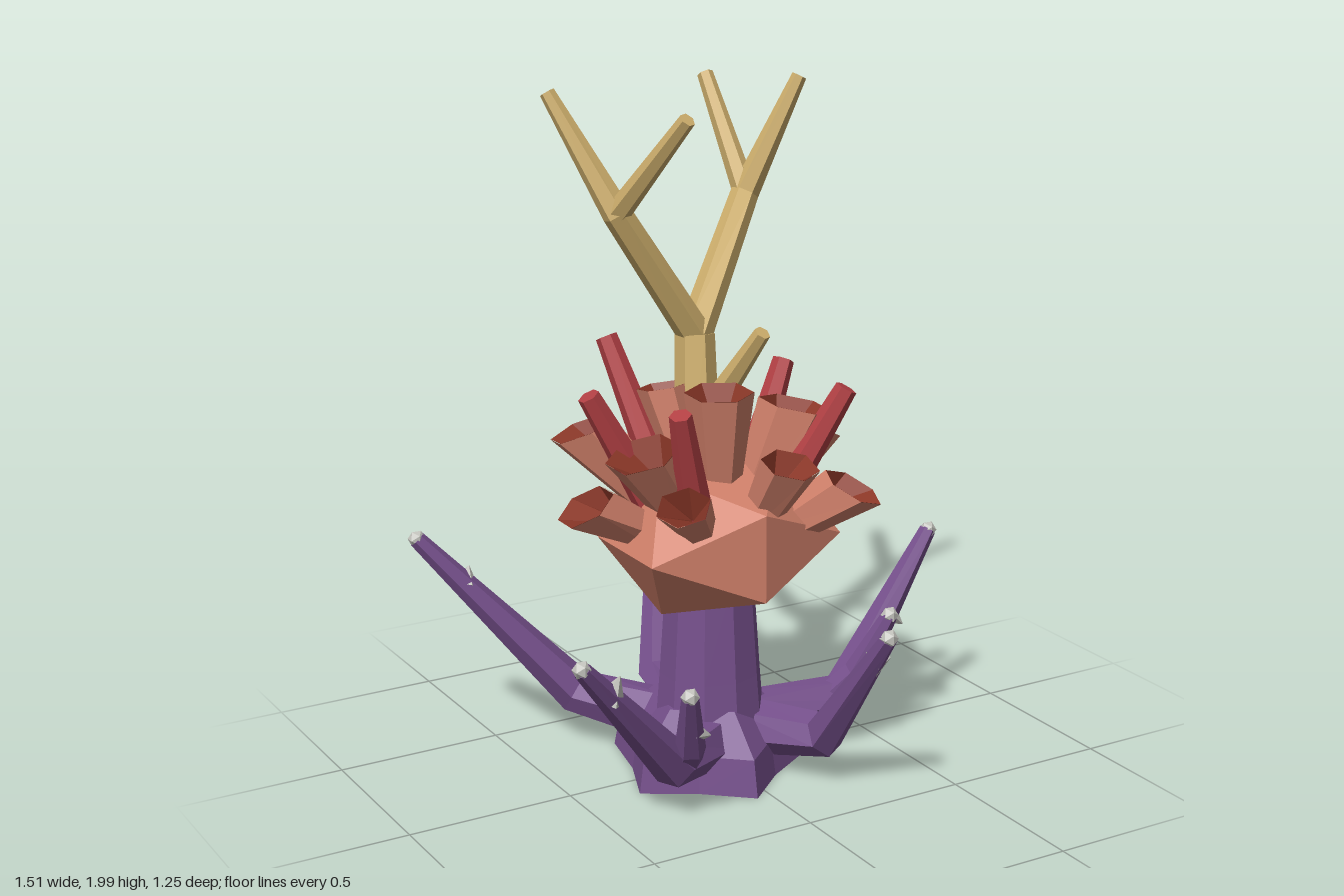
import * as THREE from 'three';

const mat = (name, color, extra = {}) => {
  const m = new THREE.MeshStandardMaterial({ color, ...extra });
  m.name = name;
  return m;
};
const V = (p) => new THREE.Vector3(...p);

// Separate faces so every facet is flat
function facet(geo) {
  const g = geo.index ? geo.toNonIndexed() : geo;
  g.computeVertexNormals();
  return g;
}

// Faceted limb: rings of given radii along a path; endNormal tilts the last ring
function limb(path, radii, sides, caps = true, endNormal = null) {
  const pts = path.map(V), last = pts.length - 1, pos = [], idx = [];
  const n = new THREE.Vector3(), b = new THREE.Vector3();
  pts.forEach((p, i) => {
    const t = new THREE.Vector3();
    if (i > 0) t.add(p.clone().sub(pts[i - 1]).normalize());
    if (i < last) t.add(pts[i + 1].clone().sub(p).normalize());
    if (i === last && endNormal) t.copy(endNormal);
    t.normalize();
    if (i === 0) n.set(0, 0, 1).addScaledVector(t, -t.z);
    if (n.lengthSq() < 0.02) n.set(1, 0, 0);
    n.addScaledVector(t, -n.dot(t)).normalize();
    b.crossVectors(t, n);
    for (let j = 0; j < sides; j++) {
      const a = (j / sides) * Math.PI * 2;
      const q = p.clone().addScaledVector(n, Math.cos(a) * radii[i]).addScaledVector(b, Math.sin(a) * radii[i]);
      pos.push(q.x, q.y, q.z);
    }
  });
  for (let i = 0; i < last; i++) {
    for (let j = 0; j < sides; j++) {
      const k = (j + 1) % sides, r = i * sides, s = r + sides;
      idx.push(r + j, r + k, s + k, r + j, s + k, s + j);
    }
  }
  if (caps) {
    const e = last * sides;
    for (let j = 1; j < sides - 1; j++) idx.push(0, j + 1, j, e, e + j, e + j + 1);
  }
  const g = new THREE.BufferGeometry();
  g.setAttribute('position', new THREE.Float32BufferAttribute(pos, 3));
  g.setIndex(idx);
  return facet(g);
}

export function createModel() {
  const purple = mat('purple', 0x76508c);
  const orange = mat('coral orange', 0xd0806a);
  const dark = mat('cup interior', 0x8c3828, { side: THREE.DoubleSide });
  const red = mat('red', 0xb24044);
  const tan = mat('tan', 0xcdae6c);
  const grey = mat('pale grey', 0xc4c4be);

  const model = new THREE.Group();
  model.name = 'coral';
  const add = (name, geo, material) => {
    const m = new THREE.Mesh(geo, material);
    m.name = name;
    model.add(m);
    return m;
  };

  // Rocky foot with five points
  const foot = new THREE.CylinderGeometry(0.16, 0.29, 0.22, 10, 2);
  const fp = foot.attributes.position;
  for (let i = 0; i < fp.count; i++) {
    const x = fp.getX(i), y = fp.getY(i), z = fp.getZ(i);
    const k = Math.round(((Math.atan2(z, x) - Math.PI / 2) / Math.PI) * 5) + 10;
    let s = k % 2 ? 0.76 : 1;
    if (Math.abs(y) < 0.05) s *= 1.2;
    fp.setXYZ(i, x * s - 0.045, y + 0.11, z * s * (z < 0 ? 1.12 : 1));
  }
  add('foot', facet(foot), purple);

  // Stem
  add('stem', limb([[-0.035, 0.05, 0], [-0.035, 0.3, 0], [-0.035, 0.6, 0]], [0.17, 0.15, 0.13], 10), purple);

  // Bent arms and their twigs: base, elbow, tip
  const arms = [
    [[-0.1, 0.12, -0.1], [-0.3, 0.16, -0.35], [-0.73, 0.67, -0.51]],
    [[-0.1, 0.12, 0.1], [-0.31, 0.16, 0.27], [-0.67, 0.57, 0.42]],
    [[0.05, 0.13, 0.03], [0.38, 0.16, 0.08], [0.73, 0.6, 0.01]],
    [[0.05, 0.12, 0.05], [0.18, 0.15, 0.29], [0.185, 0.55, 0.6]],
    [[-0.03, 0.12, -0.05], [-0.01, 0.16, -0.35], [0.115, 0.57, -0.6]],
    [[-0.26, 0.14, 0.24], [-0.29, 0.23, 0.33], [-0.35, 0.43, 0.435]],
    [[0.33, 0.15, 0.08], [0.4, 0.24, 0.13], [0.47, 0.43, 0.19]],
  ];
  arms.forEach((p, i) => {
    add('arm', limb(p, i < 5 ? [0.085, 0.067, 0.025] : [0.05, 0.044, 0.024], 6), purple);
    add('armTip', facet(new THREE.IcosahedronGeometry(0.027, 0)), grey).position.set(...p[2]);
  });

  // Small thorns: arm, place between elbow and tip, point
  [[0, 0.7, [-0.58, 0.57, -0.48]], [1, 0.7, [-0.545, 0.52, 0.4]], [2, 0.5, [0.605, 0.335, 0.065]],
    [3, 0.45, [0.245, 0.33, 0.42]], [3, 0.75, [0.24, 0.46, 0.53]], [4, 0.7, [0.12, 0.42, -0.495]],
    [5, 0.3, [-0.245, 0.27, 0.365]], [6, 0.3, [0.45, 0.245, 0.175]]].forEach(([i, t, point]) => {
    const root = V(arms[i][1]).lerp(V(arms[i][2]), t).toArray();
    add('thorn', limb([root, point], [0.04, 0.002], 5), grey);
  });

  // Faceted head
  const head = new THREE.IcosahedronGeometry(1, 0).scale(0.365, 0.245, 0.305);
  add('head', facet(head.translate(-0.02, 0.72, 0.03)), orange);

  // Flared cups with rims turned upward: rim centre, rim radius, root
  const cups = [
    [[-0.06, 0.925, -0.37], 0.088, [-0.05, 0.78, -0.12]],
    [[-0.345, 1.03, -0.19], 0.1, [-0.14, 0.78, -0.07]],
    [[-0.43, 0.86, -0.01], 0.09, [-0.18, 0.73, 0]],
    [[-0.3, 1.02, 0.09], 0.11, [-0.13, 0.78, 0.05]],
    [[-0.05, 1.16, 0.08], 0.1, [-0.03, 0.83, 0.05]],
    [[0.205, 1.09, 0.08], 0.11, [0.07, 0.78, 0.05]],
    [[0.35, 0.965, -0.06], 0.09, [0.12, 0.76, 0]],
    [[-0.28, 0.915, 0.28], 0.08, [-0.13, 0.76, 0.13]],
    [[0.05, 0.99, 0.3], 0.085, [0.02, 0.76, 0.15]],
    [[0.28, 0.88, 0.27], 0.093, [0.1, 0.73, 0.13]],
    [[-0.1, 1.13, -0.16], 0.075, [-0.05, 0.82, -0.06]],
    [[0.14, 1.06, -0.24], 0.075, [0.06, 0.78, -0.08]],
  ];
  cups.forEach(([rim, r, root]) => {
    const a = V(root), c = V(rim);
    const facing = c.clone().sub(a).normalize().add(new THREE.Vector3(0, 1, 0));
    const deep = c.clone().lerp(a, 0.45).toArray();
    add('cup', limb([root, rim], [r * 0.55, r], 6, false, facing), orange);
    add('cupInterior', limb([deep, rim], [0.003, r * 0.985], 6, false, facing), dark);
  });

  // Red tubes: root, tip
  [[[-0.11, 0.8, -0.1], [-0.205, 1.26, -0.3]], [[-0.2, 0.8, -0.01], [-0.4, 1.17, -0.04]],
    [[0.1, 0.8, 0.13], [0.285, 1.16, 0.22]], [[-0.16, 0.8, 0.15], [-0.26, 1.16, 0.23]],
    [[0.12, 0.8, -0.06], [0.3, 1.16, -0.14]], [[0.04, 0.8, -0.12], [0.12, 1.15, -0.31]]].forEach((p) => {
    add('redTube', limb(p, [0.052, 0.032], 6), red);
  });

  // Antler-like branches
  const fork = [0.01, 1.27, -0.16], left = [-0.25, 1.65, -0.14], right = [0.28, 1.63, -0.33];
  [[[[-0.02, 0.8, -0.09], fork], [0.07, 0.058]],
    [[[0.0, 1.15, -0.15], fork, left, [-0.385, 1.98, -0.29]], [0.05, 0.052, 0.042, 0.022]],
    [[[0.0, 1.15, -0.15], fork, right, [0.435, 1.97, -0.28]], [0.05, 0.052, 0.042, 0.022]],
    [[left, [-0.165, 1.94, 0.11]], [0.036, 0.023]],
    [[right, [0.26, 1.96, -0.53]], [0.036, 0.024]],
    [[[0.0, 1.0, -0.12], [0.08, 1.32, 0.1]], [0.045, 0.024]]].forEach(([path, radii]) => {
    add('branch', limb(path, radii, 6), tan);
  });

  return model;
}
